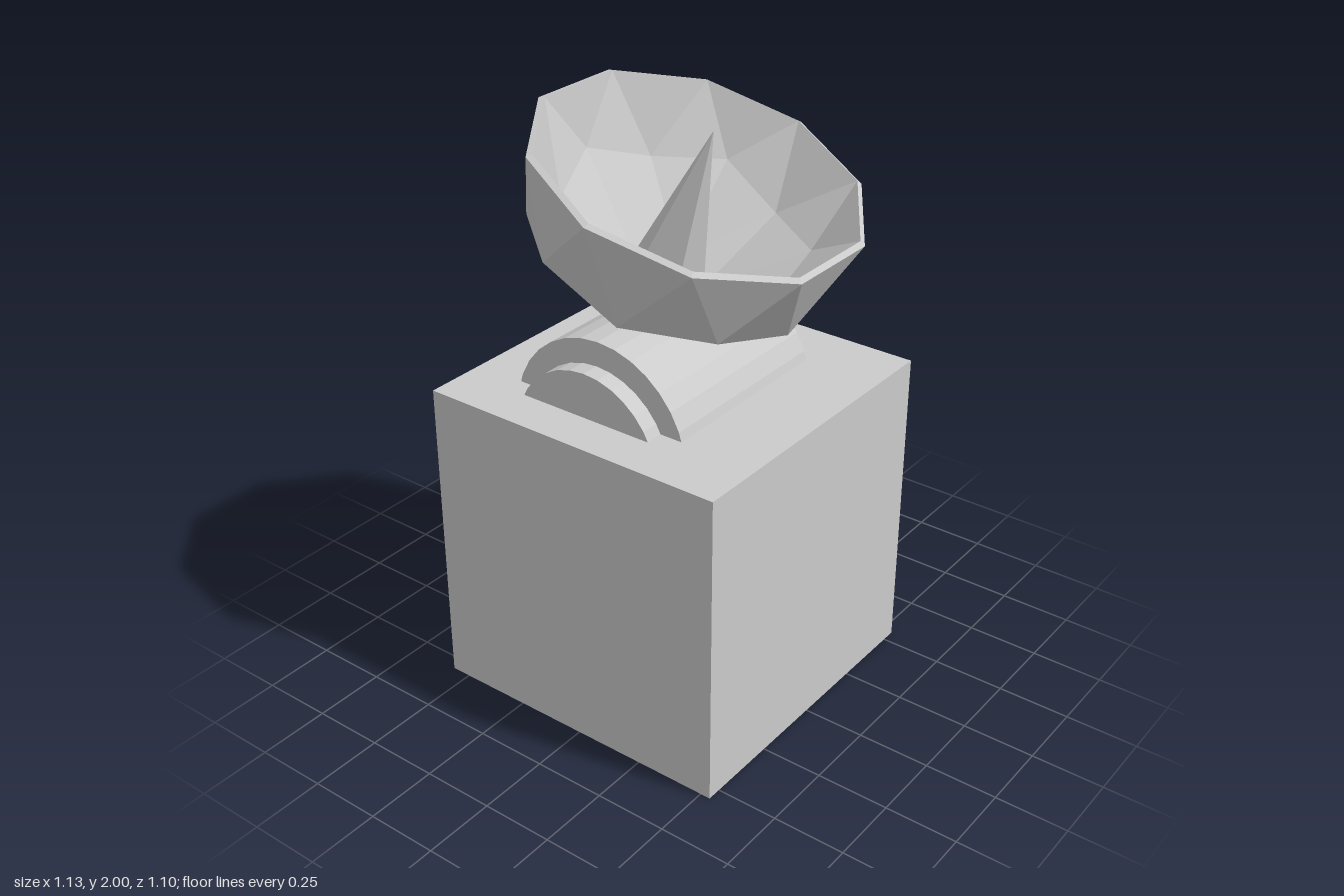
import * as THREE from 'three';

const material = new THREE.MeshStandardMaterial({ color: 0xcccccc, flatShading: true, side: THREE.DoubleSide });

function addPart(parent, name, geometry, x = 0, y = 0, z = 0) {
  const mesh = new THREE.Mesh(geometry, material);
  mesh.name = name;
  mesh.position.set(x, y, z);
  parent.add(mesh);
  return mesh;
}

// Point on a ring, counted in steps of 36 degrees
function ringPoint(radius, y, step) {
  const a = step * Math.PI / 5;
  return [radius * Math.cos(a), y, radius * Math.sin(a)];
}

// One skin of the faceted bowl; each [radius, height] pair describes a ring
function bowlSkin({ rim, corner, middle, foot, pole }, inward) {
  const out = [];
  const tri = (a, b, c) => out.push(...a, ...(inward ? c : b), ...(inward ? b : c));
  const e = k => ringPoint(...rim, k + 0.5);
  const r = k => ringPoint(...(k % 2 ? corner : middle), k);
  const m = k => ringPoint(...foot, k);
  const tip = [0, pole, 0];
  for (let k = 0; k < 10; k++) {
    tri(r(k), e(k), r(k + 1));
    tri(e(k), e(k + 1), r(k + 1));
  }
  for (let k = 1; k < 10; k += 2) {
    tri(r(k), r(k + 1), m(k));
    tri(r(k + 1), r(k + 2), m(k + 2));
    tri(m(k), r(k + 1), m(k + 2));
    tri(m(k), m(k + 2), tip);
  }
  return out;
}

// Thick bowl whose centre is pulled up into a five-sided spike
function dishGeometry() {
  const outer = { rim: [0.545, 0], corner: [0.487, -0.265], middle: [0.468, -0.31], foot: [0.065, -0.486], pole: 0 };
  const inner = { rim: [0.527, 0.01], corner: [0.41, -0.175], middle: [0.38, -0.22], foot: [0.131, -0.41], pole: 0.147 };
  const positions = [...bowlSkin(outer, false), ...bowlSkin(inner, true)];
  // Narrow lip joining both skins
  for (let k = 0; k < 10; k++) {
    const [a, b] = [k + 0.5, k + 1.5].map(s => ringPoint(...outer.rim, s));
    const [c, d] = [k + 0.5, k + 1.5].map(s => ringPoint(...inner.rim, s));
    positions.push(...a, ...c, ...b, ...c, ...d, ...b);
  }
  const geometry = new THREE.BufferGeometry();
  geometry.setAttribute('position', new THREE.Float32BufferAttribute(positions, 3));
  geometry.computeVertexNormals();
  return geometry;
}

export function createModel() {
  const model = new THREE.Group();
  model.name = 'dishOnPedestal';

  // Pedestal block
  addPart(model, 'base', new THREE.BoxGeometry(1.105, 1.1, 1.1), -0.017, 0.55, 0);

  // Half-sunk drum and the narrower axle through it
  const drum = new THREE.CylinderGeometry(0.34, 0.34, 0.68, 32).rotateX(Math.PI / 2);
  addPart(model, 'drum', drum, -0.065, 1.0, -0.007);
  const axle = new THREE.CylinderGeometry(0.279, 0.279, 0.795, 32).rotateX(Math.PI / 2);
  addPart(model, 'axle', axle, -0.07, 0.976, -0.002);

  // Short stem under the dish
  addPart(model, 'stem', new THREE.CylinderGeometry(0.05, 0.05, 0.1, 8), -0.093, 1.35, 0);

  // Tilted dish
  const dish = addPart(model, 'dish', dishGeometry(), 0.075, 1.825, 0);
  dish.rotation.z = -THREE.MathUtils.degToRad(19.8);

  return model;
}
